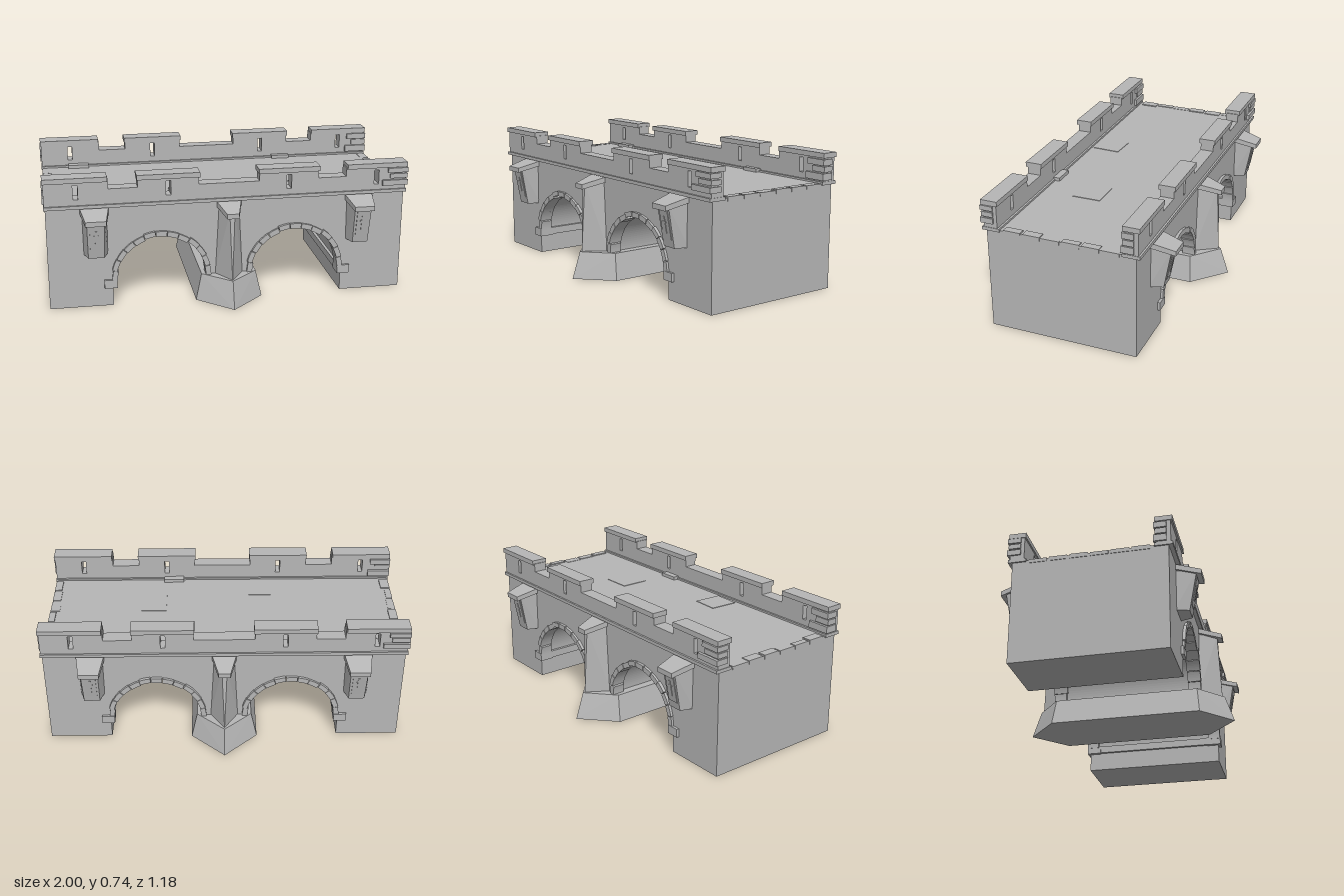
import * as THREE from 'three';
import { ConvexGeometry } from 'three/addons/geometries/ConvexGeometry.js';

const stone = new THREE.MeshStandardMaterial({ color: 0xb6b6b6 });
stone.name = 'grey stone';

function add(parent, name, geometry, x = 0, y = 0, z = 0) {
  const mesh = new THREE.Mesh(geometry, stone);
  mesh.name = name;
  mesh.position.set(x, y, z);
  parent.add(mesh);
  return mesh;
}

// box given by its limits on each axis
function block(parent, name, x0, x1, y0, y1, z0, z1) {
  return add(parent, name, new THREE.BoxGeometry(x1 - x0, y1 - y0, z1 - z0),
    (x0 + x1) / 2, (y0 + y1) / 2, (z0 + z1) / 2);
}

// convex solid from points [halfWidth, y, z], mirrored across x
function hull(points) {
  const all = [];
  for (const [x, y, z] of points) {
    all.push(new THREE.Vector3(x, y, z));
    if (x) all.push(new THREE.Vector3(-x, y, z));
  }
  return new ConvexGeometry(all);
}

function extrude(shape, depth, segments = 20) {
  const g = new THREE.ExtrudeGeometry(shape, { depth, bevelEnabled: false, curveSegments: segments });
  return g.translate(0, 0, -depth / 2);
}

const ARCH_X = 0.372, ARCH_R = 0.267, SPRING = 0.14;

// solid bridge mass with two barrel vaults
function bridgeBody() {
  const s = new THREE.Shape();
  s.moveTo(-0.985, 0);
  for (const c of [-ARCH_X, ARCH_X]) {
    s.lineTo(c - ARCH_R, 0);
    s.lineTo(c - ARCH_R, SPRING);
    s.absarc(c, SPRING, ARCH_R, Math.PI, 0, true);
    s.lineTo(c + ARCH_R, 0);
  }
  s.lineTo(0.985, 0);
  s.lineTo(0.985, 0.578);
  s.lineTo(-0.985, 0.578);
  return extrude(s, 0.82, 32);
}

// one wedge of an arch ring
function voussoir(a0, a1, inner, outer, depth) {
  const s = new THREE.Shape();
  s.absarc(0, 0, outer, a0, a1, false);
  s.absarc(0, 0, inner, a1, a0, true);
  return extrude(s, depth, 3);
}

function archRing(parent, cx) {
  const n = 13;
  for (let i = 0; i < n; i++) {
    const wobble = ((i * 5) % 4) * 0.003;
    const ring = voussoir(Math.PI * i / n + 0.006, Math.PI * (i + 1) / n - 0.006,
      0.243 + wobble, 0.272 + wobble * 0.8, 0.07 + wobble);
    add(parent, 'archStone', ring, cx, SPRING, 0.388);
  }
}

// parapet wall with four merlons and loophole slits
function parapetWall() {
  const s = new THREE.Shape();
  s.moveTo(-0.99, 0.578);
  s.lineTo(0.99, 0.578);
  for (const c of [0.82, 0.33, -0.33, -0.82]) {
    const w = c > 0.5 || c < -0.5 ? 0.17 : 0.165;
    s.lineTo(c + w, 0.672);
    s.lineTo(c + w, 0.72);
    s.lineTo(c - w, 0.72);
    s.lineTo(c - w, 0.672);
  }
  for (const c of [-0.823, -0.33, 0.33, 0.823]) {
    const h = new THREE.Path();
    h.moveTo(c - 0.013, 0.62);
    h.lineTo(c - 0.013, 0.7);
    h.lineTo(c + 0.013, 0.7);
    h.lineTo(c + 0.013, 0.62);
    s.holes.push(h);
  }
  return extrude(s, 0.075);
}

// sloping cap stone shared by corbels and pier
function capStone(back, front) {
  return hull([[back, 0.567, 0.4], [back, 0.537, 0.4], [front, 0.532, 0.54], [front, 0.505, 0.54]]);
}

function corbel(parent, x) {
  const g = new THREE.Group();
  g.name = 'corbel';
  g.position.x = x;
  parent.add(g);
  add(g, 'corbelBody', hull([[0.068, 0.53, 0.4], [0.047, 0.53, 0.515],
    [0.066, 0.305, 0.4], [0.043, 0.305, 0.473]]));
  add(g, 'corbelCap', capStone(0.078, 0.055));
  const panel = add(g, 'corbelPanel', new THREE.BoxGeometry(0.064, 0.16, 0.008), 0, 0.425, 0.495);
  panel.rotation.x = Math.atan(0.19);
  add(panel, 'corbelSlit', new THREE.BoxGeometry(0.01, 0.09, 0.006), 0, 0, 0.004);
  add(panel, 'corbelCrossSlit', new THREE.BoxGeometry(0.026, 0.008, 0.006), 0, 0.015, 0.004);
}

// everything on the front half; the rear half is the same turned around
function frontHalf() {
  const g = new THREE.Group();
  g.name = 'bridgeSide';
  block(g, 'cornice', -0.993, 0.993, 0.57, 0.588, 0.335, 0.432);
  add(g, 'parapetWall', parapetWall(), 0, 0, 0.384);
  for (const c of [-0.825, -0.33, 0.33, 0.825])
    block(g, 'merlonCap', c - 0.17, c + 0.17, 0.713, 0.74, 0.339, 0.431);
  for (const side of [-1, 1]) {
    archRing(g, side * ARCH_X);
    corbel(g, side * 0.727);
    const a = side * 0.617, b = side * 0.687;
    block(g, 'imposBlock'.replace('impos', 'impost'), Math.min(a, b), Math.max(a, b), 0.105, 0.152, 0.34, 0.425);
  }
  // corner stones, outside at one end and inside at the other
  for (const [x, y0, y1, out] of [[0.855, 0.612, 0.642, 0.437], [0.9, 0.65, 0.676, 0.43], [0.885, 0.684, 0.71, 0.436]])
    block(g, 'cornerStone', x, 0.998, y0, y1, 0.365, out);
  for (const [x, y0, y1, inner] of [[-0.87, 0.595, 0.632, 0.332], [-0.91, 0.638, 0.668, 0.34], [-0.88, 0.674, 0.706, 0.334]])
    block(g, 'innerCornerStone', -0.998, x, y0, y1, inner, 0.4);
  // pier buttress
  add(g, 'pierShaft', hull([[0.08, 0.14, 0.4], [0, 0.14, 0.527], [0.06, 0.53, 0.4], [0.014, 0.53, 0.51]]));
  add(g, 'pierCap', capStone(0.07, 0.032));
  return g;
}

export function createModel() {
  const model = new THREE.Group();
  model.name = 'stoneBridge';
  const bridge = new THREE.Group();
  bridge.name = 'bridge';
  bridge.position.x = -0.004;
  model.add(bridge);

  add(bridge, 'bridgeBody', bridgeBody());
  const front = frontHalf(), rear = frontHalf();
  rear.rotation.y = Math.PI;
  bridge.add(front, rear);

  // boat-shaped pier foot
  const foot = [];
  for (const s of [-1, 1])
    foot.push([0.185, 0, s * 0.42], [0, 0, s * 0.59], [0.152, 0.148, s * 0.405], [0, 0.148, s * 0.54]);
  add(bridge, 'pierFoot', hull(foot));

  // ledges along the vault springing
  for (const s of [-1, 1])
    block(bridge, 'vaultLedge', s * 0.64 - 0.018, s * 0.64 + 0.018, 0.108, 0.15, -0.36, 0.36);

  // paving slabs and stones at the foot of the parapets
  block(bridge, 'pavingSlab', 0.325, 0.49, 0.57, 0.581, 0, 0.16);
  const slab = block(bridge, 'pavingSlab', -0.305, -0.155, 0.57, 0.581, 0.16, 0.32);
  slab.rotation.y = -0.05;
  block(bridge, 'kerbStone', -0.835, -0.715, 0.57, 0.597, -0.345, -0.303);
  block(bridge, 'kerbStone', 0.4, 0.505, 0.57, 0.597, -0.345, -0.312);
  block(bridge, 'kerbStone', 0.23, 0.345, 0.57, 0.597, 0.308, 0.345);

  // worn stones along both road ends
  for (const s of [-1, 1])
    for (let i = 0; i < 6; i++) {
      const z = -0.32 + i * 0.108, w = 0.035 + ((i * 3 + s + 1) % 4) * 0.006;
      const x = s * (0.988 - w / 2);
      block(bridge, 'edgeStone', x - w / 2, x + w / 2, 0.56, 0.58 + (i % 3) * 0.002, z, z + 0.095);
    }
  return model;
}
